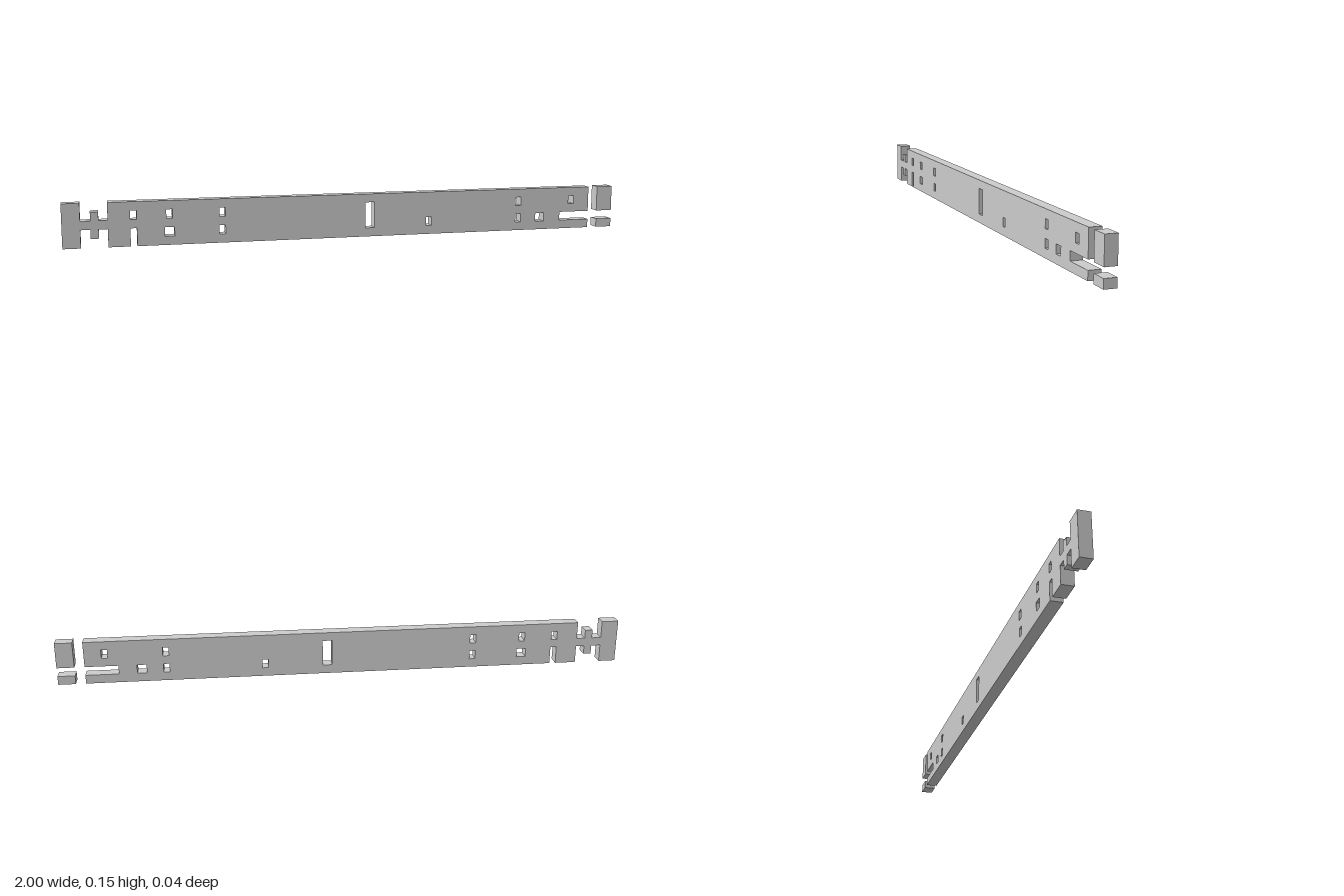
import * as THREE from 'three';

const DEPTH = 0.042, H = 0.153;

// Rectangular outline from two corners, usable as a shape or a hole.
function rect(Type, x0, y0, x1, y1) {
  return new Type([[x0, y0], [x1, y0], [x1, y1], [x0, y1]].map(p => new THREE.Vector2(...p)));
}

export function createModel() {
  const group = new THREE.Group();
  const material = new THREE.MeshStandardMaterial({ color: 0xcccccc, flatShading: true });

  function addPlate(name, shape) {
    const geometry = new THREE.ExtrudeGeometry(shape, { depth: DEPTH, bevelEnabled: false });
    geometry.translate(0, 0, -DEPTH / 2);
    const mesh = new THREE.Mesh(geometry, material);
    mesh.name = name;
    group.add(mesh);
  }

  // Main bar: notched neck at one end, open slot at the other
  const outline = [
    [-1, 0], [-0.94, 0], [-0.94, 0.062], [-0.907, 0.062], [-0.907, 0.031], [-0.88, 0.031],
    [-0.88, 0.062], [-0.85, 0.062], [-0.85, 0],
    [-0.776, 0], [-0.776, 0.062], [-0.754, 0.062], [-0.754, 0],
    [0.905, 0], [0.905, 0.031], [0.79, 0.031], [0.79, 0.062], [0.905, 0.062], [0.905, H],
    [-0.85, H], [-0.85, 0.092], [-0.88, 0.092], [-0.88, 0.122], [-0.907, 0.122],
    [-0.907, 0.092], [-0.94, 0.092], [-0.94, H], [-1, H],
  ];
  const bar = new THREE.Shape(outline.map(p => new THREE.Vector2(...p)));

  // Windows: centre x, centre y, width, height
  const upper = 0.107, lower = 0.046;
  const windows = [
    [-0.765, upper], [-0.645, upper], [-0.645, lower, 0.033],
    [-0.465, upper], [-0.465, lower],
    [0.06, 0.077, 0.033, 0.092], [0.28, lower],
    [0.625, upper], [0.625, lower], [0.71, lower, 0.033], [0.835, upper],
  ];
  for (const [x, y, w = 0.021, h = 0.031] of windows) {
    bar.holes.push(rect(THREE.Path, x - w / 2, y - h / 2, x + w / 2, y + h / 2));
  }
  addPlate('mainBar', bar);

  // Two loose end blocks beyond the gap
  addPlate('upperEndBlock', rect(THREE.Shape, 0.94, 0.062, 1, H));
  addPlate('lowerEndBlock', rect(THREE.Shape, 0.94, 0, 1, 0.031));

  return group;
}
